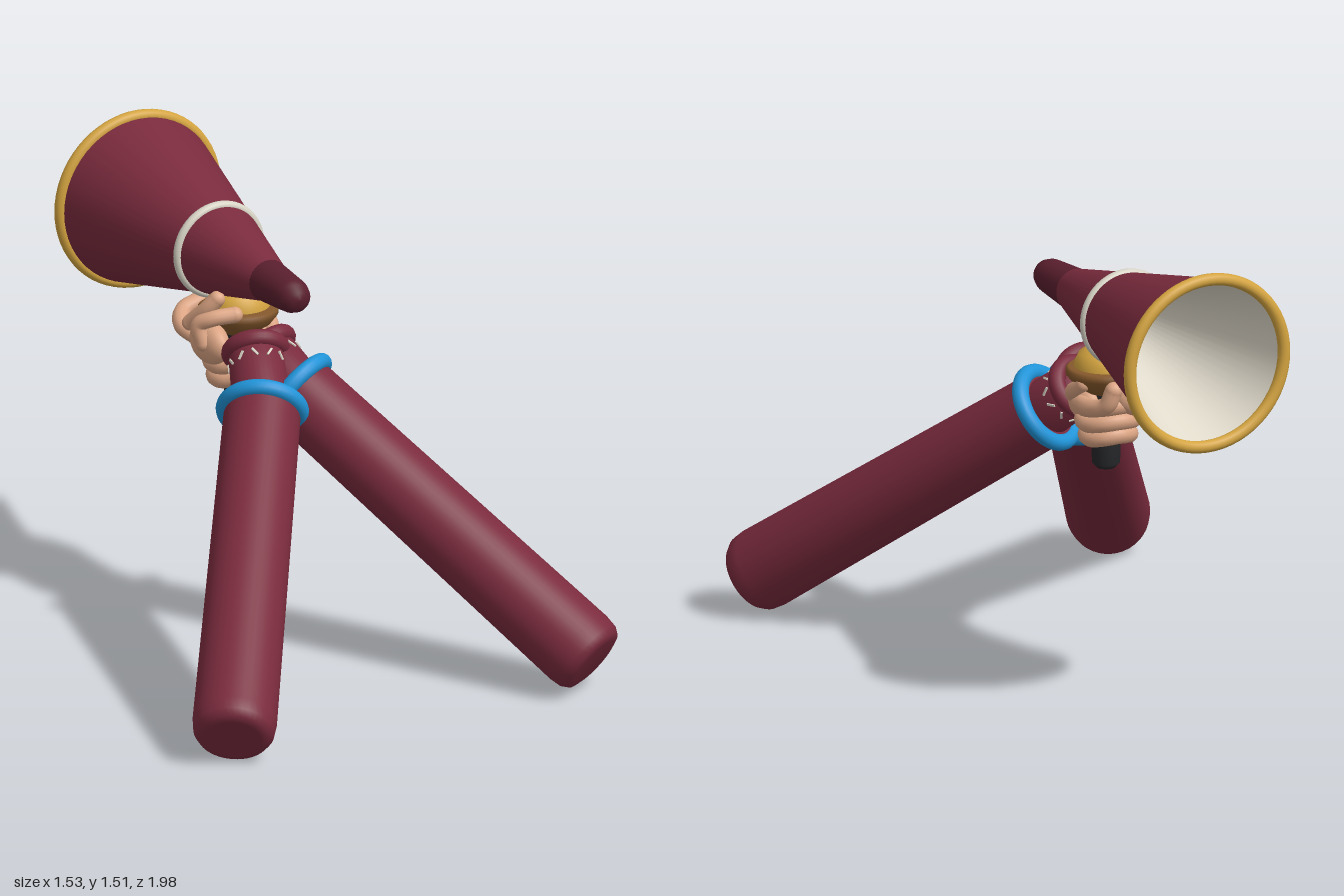
import * as THREE from 'three';

const mat = (name, color, side = THREE.FrontSide) => {
  const m = new THREE.MeshStandardMaterial({ color, side });
  m.name = name;
  return m;
};
const V = (x, y, z) => new THREE.Vector3(x, y, z);
const UP = V(0, 1, 0);

export function createModel() {
  const root = new THREE.Group();
  const sleeveRed = mat('sleeve red', 0x7a2b3d);
  const darkRed = mat('mouthpiece red', 0x5a1f2e);
  const gold = mat('gold', 0xd4a440);
  const cream = mat('cream lining', 0xe2dccd, THREE.DoubleSide);
  const white = mat('off white', 0xd6d2c4);
  const blue = mat('blue', 0x2094d8);
  const skin = mat('skin', 0xdca584);
  const brown = mat('brown', 0x86592c);
  const black = mat('black', 0x26272a);

  const add = (parent, name, geo, material, pos = [0, 0, 0]) => {
    const mesh = new THREE.Mesh(geo, material);
    mesh.name = name;
    mesh.position.set(...pos);
    parent.add(mesh);
    return mesh;
  };
  const lathe = (pts, seg = 40) =>
    new THREE.LatheGeometry(pts.map(p => new THREE.Vector2(...p)), seg);

  // Horn: local +y runs from the mouthpiece towards the bell at the back
  const horn = new THREE.Group();
  horn.name = 'horn';
  horn.position.set(-0.015, 1.245, 0);
  horn.rotation.x = -Math.PI / 2;
  root.add(horn);
  add(horn, 'hornCone', lathe([[0, 0.09], [0.068, 0.09], [0.277, 0.975]], 56), sleeveRed);
  add(horn, 'hornLining', lathe([[0.02, 0.13], [0.272, 0.977]], 56), cream);
  add(horn, 'mouthpiece', lathe([[0, -0.125], [0.025, -0.12], [0.046, -0.104], [0.055, -0.078],
    [0.058, -0.05], [0.069, 0.095]], 32), darkRed);
  const hoop = (name, r, tube, y, material) => {
    add(horn, name, new THREE.TorusGeometry(r, tube, 14, 64), material, [0, y, 0]).rotation.x = Math.PI / 2;
  };
  hoop('bellRim', 0.276, 0.02, 0.98, gold);
  hoop('hornBand', 0.145, 0.016, 0.43, white);

  // Arms: local +y runs from the cut end to the wrist
  const arm = (side, end, band, cuffAt) => {
    const g = new THREE.Group();
    g.name = side + 'Arm';
    const dir = band.clone().sub(end);
    const len = dir.length();
    g.position.copy(end);
    g.quaternion.setFromUnitVectors(UP, dir.normalize());
    root.add(g);
    add(g, side + 'Sleeve', lathe([[0, 0], [0.09, 0], [0.115, 0.008], [0.129, 0.03], [0.134, 0.07],
      [0.122, len], [0.105, len + 0.015], [0, len + 0.015]]), sleeveRed);
    add(g, side + 'Band', new THREE.TorusGeometry(0.122, 0.027, 14, 48), blue, [0, len, 0])
      .rotation.x = Math.PI / 2;

    // Narrow wrist with a rolled cuff, bending slightly towards the grip
    const w = new THREE.Group();
    w.name = side + 'Wrist';
    const wDir = cuffAt.clone().sub(band);
    const wLen = wDir.length();
    w.position.copy(band);
    w.quaternion.setFromUnitVectors(UP, wDir.normalize());
    root.add(w);
    add(w, side + 'WristSleeve', lathe([[0.095, -0.03], [0.088, wLen], [0, wLen + 0.02]]), sleeveRed);
    add(w, side + 'Cuff', new THREE.TorusGeometry(0.082, 0.028, 14, 40), sleeveRed, [0, wLen, 0])
      .rotation.x = Math.PI / 2;
    // Small stitches around the wrist
    for (let i = 0; i < 12; i++) {
      const a = i * Math.PI / 6;
      const s = add(w, side + 'Stitch', new THREE.BoxGeometry(0.007, 0.03, 0.006), white,
        [Math.sin(a) * 0.091, wLen - 0.055, Math.cos(a) * 0.091]);
      s.rotation.set(0, a, i % 2 ? 0.6 : -0.6);
    }
  };
  arm('right', V(-0.665, 0.12, 0.9), V(-0.08, 0.845, -0.01), V(-0.02, 0.985, -0.17));
  arm('left', V(0.665, 0.14, 0.83), V(0.08, 0.865, -0.08), V(0.04, 0.965, -0.215));

  // Grip under the horn
  const grip = new THREE.Group();
  grip.name = 'grip';
  grip.position.set(0.02, 0, -0.365);
  root.add(grip);
  add(grip, 'gripHandle', lathe([[0, 0.735], [0.03, 0.738], [0.045, 0.755], [0.046, 0.85],
    [0.04, 1.0]], 28), black);
  add(grip, 'gripDish', lathe([[0, 0.985], [0.06, 0.99], [0.105, 1.02], [0.128, 1.05], [0.128, 1.068],
    [0.118, 1.075], [0, 1.075]]), brown);
  add(grip, 'gripDome', lathe([[0.102, 1.065], [0.1, 1.09], [0.086, 1.118], [0.058, 1.138],
    [0.028, 1.147], [0, 1.15]]), gold);

  // Hands wrapped around the grip
  const hands = new THREE.Group();
  hands.name = 'hands';
  root.add(hands);
  const finger = (name, pts, r) => {
    const curve = new THREE.CatmullRomCurve3(pts.map(p => V(...p)));
    add(hands, name, new THREE.TubeGeometry(curve, 28, r, 12), skin);
    for (const p of [pts[0], pts[pts.length - 1]])
      add(hands, name + 'Tip', new THREE.SphereGeometry(r, 12, 10), skin, p);
  };
  const blob = (name, pos, scale) =>
    add(hands, name, new THREE.SphereGeometry(1, 24, 16), skin, pos).scale.set(...scale);

  // Three stacked fingers curl round the handle
  [[0.85, 0.068], [0.9, 0.08], [0.955, 0.09]].forEach(([y, r], i) => {
    const pts = [];
    for (let k = 0; k <= 8; k++) {
      const a = -2.6 + k * 0.65;
      pts.push([0.01 - Math.sin(a) * r, y + 0.008 * Math.cos(a * 2), -0.36 - Math.cos(a) * r]);
    }
    finger('wrappedFinger' + (i + 1), pts, 0.029);
  });
  blob('leftPalm', [0.07, 0.95, -0.31], [0.045, 0.06, 0.08]);
  blob('rightPalm', [-0.1, 0.98, -0.33], [0.05, 0.07, 0.1]);
  blob('rightHandBack', [-0.05, 0.985, -0.46], [0.08, 0.06, 0.04]);
  finger('leftIndex', [[0.1, 0.955, -0.34], [0.11, 0.965, -0.44], [0.09, 0.99, -0.505], [0.075, 1.04, -0.52]], 0.028);
  finger('leftThumb', [[0.1, 0.97, -0.29], [0.125, 1.0, -0.34], [0.12, 1.035, -0.4]], 0.024);
  finger('rightIndex', [[-0.1, 0.97, -0.42], [-0.13, 1.0, -0.46], [-0.1, 1.03, -0.51], [-0.04, 1.05, -0.52]], 0.028);
  finger('rightThumb', [[-0.14, 0.99, -0.3], [-0.15, 1.05, -0.31], [-0.12, 1.075, -0.28], [-0.05, 1.085, -0.255]], 0.026);
  finger('rightRaisedFinger', [[-0.15, 1.04, -0.37], [-0.12, 1.1, -0.31], [-0.095, 1.135, -0.29]], 0.026);

  return root;
}
